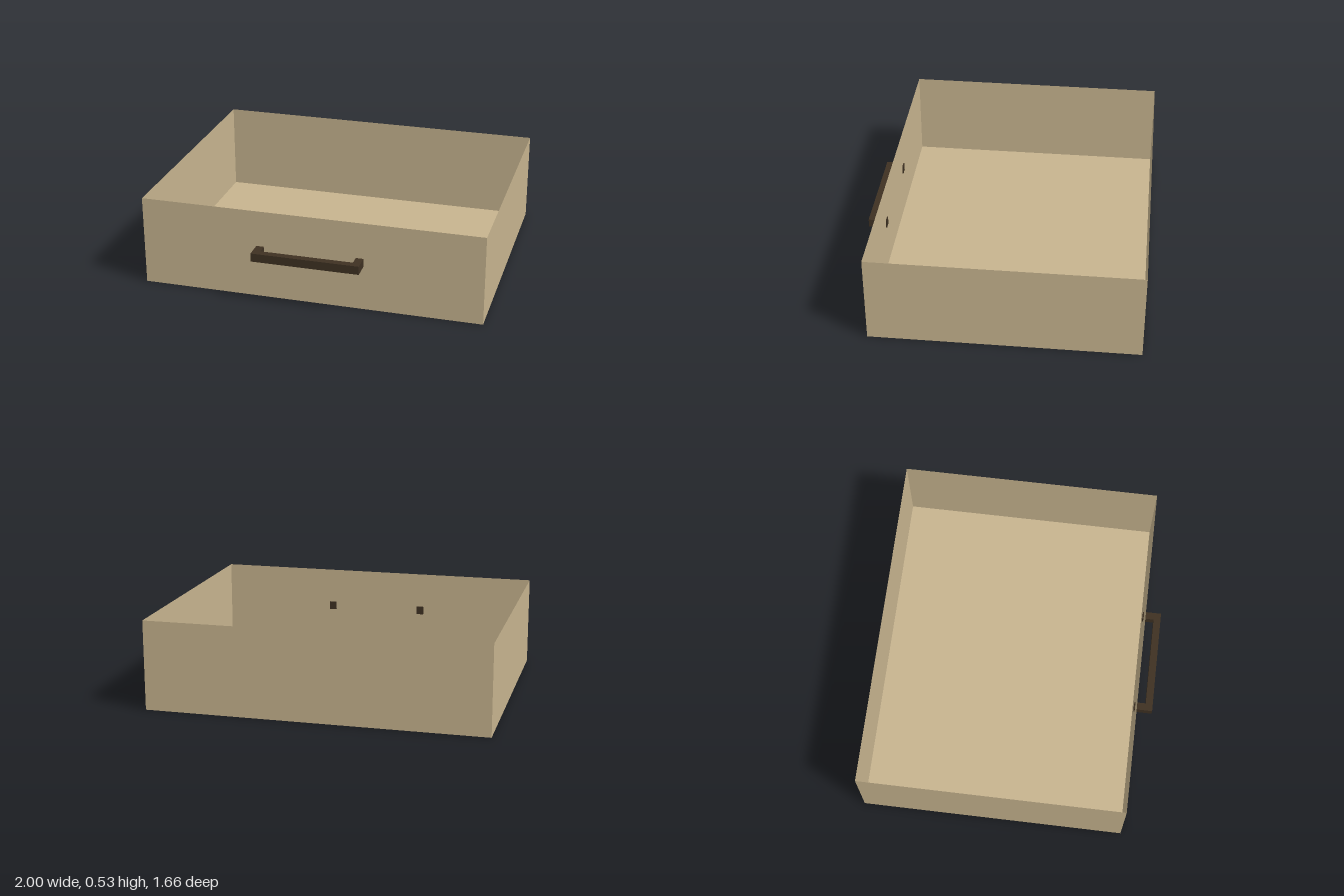
import * as THREE from 'three';

const W = 2, H = 0.53, BACK = -0.828, FRONT = 0.725;

export function createModel() {
  const group = new THREE.Group();
  const wood = new THREE.MeshStandardMaterial({ color: 0xc6b38e, side: THREE.DoubleSide });
  wood.name = 'lightWood';
  const dark = new THREE.MeshStandardMaterial({ color: 0x3e3122 });
  dark.name = 'darkHandle';

  const depth = FRONT - BACK, midZ = (FRONT + BACK) / 2;

  // Thin open-topped tray: one sheet per side, facing outwards
  function panel(name, w, h, position, rx, ry) {
    const mesh = new THREE.Mesh(new THREE.PlaneGeometry(w, h), wood);
    mesh.name = name;
    mesh.position.set(...position);
    mesh.rotation.set(rx, ry, 0);
    group.add(mesh);
  }
  panel('drawerFront', W, H, [0, H / 2, FRONT], 0, 0);
  panel('drawerBack', W, H, [0, H / 2, BACK], 0, Math.PI);
  panel('leftSide', depth, H, [W / 2, H / 2, midZ], 0, Math.PI / 2);
  panel('rightSide', depth, H, [-W / 2, H / 2, midZ], 0, -Math.PI / 2);
  panel('drawerBottom', W, depth, [0, 0, midZ], Math.PI / 2, 0);

  // U-shaped pull, drawn in plan; its legs pass just through the front sheet
  const outer = 0.314, inner = 0.27, root = FRONT - 0.006, tip = 0.828, gap = 0.786;
  const plan = new THREE.Shape([
    [-outer, root], [-inner, root], [-inner, gap], [inner, gap],
    [inner, root], [outer, root], [outer, tip], [-outer, tip],
  ].map(([x, z]) => new THREE.Vector2(x, z)));
  const pull = new THREE.ExtrudeGeometry(plan, { depth: 0.05, bevelEnabled: false });
  pull.rotateX(Math.PI / 2);
  const handle = new THREE.Mesh(pull, dark);
  handle.name = 'handle';
  handle.position.y = 0.315;
  group.add(handle);

  return group;
}
